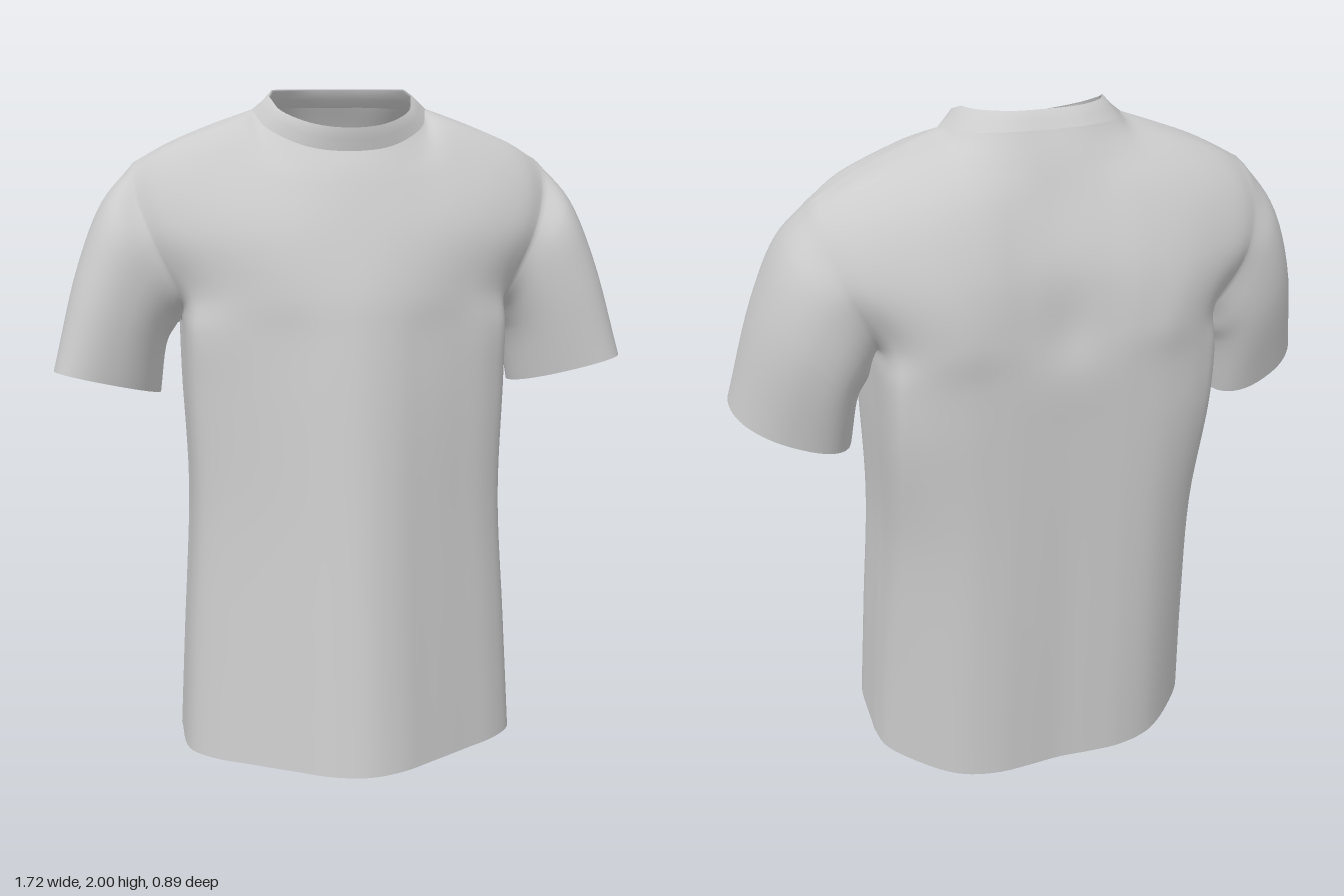
import * as THREE from 'three';
import { mergeGeometries, mergeVertices } from 'three/addons/utils/BufferGeometryUtils.js';

const K = 6; // subdivisions between neighbouring control points
const V = (x, y, z) => new THREE.Vector3(x, y, z);

// Smooth samples through a list of points
const spline = (pts, k = K) => new THREE.CatmullRomCurve3(pts).getPoints((pts.length - 1) * k);

// Smooth grid running across a list of equally long rows
function loft(rows) {
  const cols = rows[0].map((_, j) => spline(rows.map((r) => r[j])));
  return cols[0].map((_, i) => cols.map((c) => c[i]));
}

// Triangles from a grid of points
function gridGeometry(grid, flip = false) {
  const nJ = grid[0].length;
  const index = [];
  for (let i = 0; i < grid.length - 1; i++) {
    for (let j = 0; j < nJ - 1; j++) {
      const a = i * nJ + j, b = a + 1, d = a + nJ, c = d + 1;
      index.push(...(flip ? [a, c, b, a, d, c] : [a, b, c, a, c, d]));
    }
  }
  const g = new THREE.BufferGeometry().setFromPoints(grid.flat());
  g.setIndex(index);
  return g;
}

// Half a row (centre to +x side) mirrored to a full row from -x to +x
const mirrorRow = (half) => [
  ...half.slice(1).reverse().map((p) => V(-p.x, p.y, p.z)), ...half,
];
const row = (xs, ys, zs) => mirrorRow(xs.map((x, i) => V(x, ys[i], zs[i])));

// Trunk levels: height, half width, front z, back z, hem tilt, front and back roundness
const levels = [
  [0.035, 0.515, 0.445, -0.4, 0.08, 1, 1],
  [0.4, 0.494, 0.405, -0.415, 0.04, 1, 0.75],
  [0.8, 0.469, 0.36, -0.428, 0, 0.95, 0.45],
  [1.15, 0.476, 0.318, -0.438, 0, 0.85, 0.22],
  [1.33, 0.476, 0.292, -0.442, 0, 0.75, 0.2],
];
const SIDE_Z = -0.1;
const sectionX = [0, 0.2, 0.4, 0.62, 0.85, 0.97, 1];
const frontDepth = [1, 0.955, 0.845, 0.715, 0.57, 0.42, 0];
const backDepth = [0.97, 0.99, 0.99, 0.88, 0.54, 0.26, 0];

const trunkRows = (isFront) => levels.map(([y, w, zf, zb, tilt, frontPower, backPower]) =>
  mirrorRow(sectionX.map((sx, i) => {
    const depth = isFront ? frontDepth[i] ** frontPower : backDepth[i] ** backPower;
    const z = SIDE_Z + depth * ((isFront ? zf : zb) - SIDE_Z);
    return V(sx * w, y + tilt * z, z);
  })));

// Chest and upper back, ending at neckline and shoulder seam
const chestRows = [
  row([0, 0.1, 0.2, 0.3, 0.39, 0.455, 0.487], [1.45, 1.45, 1.45, 1.45, 1.44, 1.43, 1.42],
    [0.27, 0.26, 0.235, 0.195, 0.147, 0.09, 0.03]),
  row([0, 0.11, 0.22, 0.33, 0.44, 0.52, 0.56], [1.62, 1.62, 1.62, 1.62, 1.61, 1.6, 1.58],
    [0.215, 0.21, 0.19, 0.157, 0.115, 0.075, 0.045]),
  row([0, 0.12, 0.24, 0.34, 0.46, 0.55, 0.605], [1.745, 1.75, 1.77, 1.793, 1.778, 1.745, 1.7],
    [0.165, 0.15, 0.105, 0.06, 0.03, 0.005, -0.02]),
  row([0, 0.12, 0.235, 0.3, 0.42, 0.525, 0.61], [1.795, 1.805, 1.84, 1.899, 1.872, 1.83, 1.774],
    [0.14, 0.118, 0.05, -0.02, -0.045, -0.06, -0.08]),
  row([0, 0.12, 0.225, 0.258, 0.38, 0.5, 0.605], [1.835, 1.847, 1.895, 1.945, 1.902, 1.852, 1.795],
    [0.115, 0.09, 0, -0.11, -0.125, -0.135, -0.14]),
];
const upperBackRows = [
  row([0, 0.1, 0.2, 0.3, 0.4, 0.455, 0.487], [1.45, 1.45, 1.45, 1.45, 1.44, 1.435, 1.43],
    [-0.42, -0.432, -0.443, -0.442, -0.405, -0.355, -0.29]),
  row([0, 0.11, 0.22, 0.34, 0.45, 0.52, 0.56], [1.62, 1.62, 1.62, 1.62, 1.61, 1.595, 1.58],
    [-0.405, -0.41, -0.42, -0.412, -0.385, -0.36, -0.335]),
  row([0, 0.1, 0.21, 0.34, 0.46, 0.55, 0.605], [1.8, 1.8, 1.8, 1.79, 1.768, 1.735, 1.7],
    [-0.335, -0.34, -0.345, -0.335, -0.315, -0.295, -0.275]),
  row([0, 0.11, 0.22, 0.3, 0.42, 0.525, 0.61], [1.885, 1.885, 1.885, 1.892, 1.868, 1.828, 1.774],
    [-0.3, -0.297, -0.275, -0.235, -0.22, -0.212, -0.205]),
  row([0, 0.12, 0.215, 0.258, 0.38, 0.5, 0.605], [1.955, 1.955, 1.95, 1.945, 1.902, 1.852, 1.795],
    [-0.265, -0.255, -0.2, -0.11, -0.125, -0.135, -0.14]),
];

const ARMPIT = (levels.length - 1) * K; // grid row of the armpit
const NECK_A = 3 * K, NECK_B = 9 * K; // grid columns of the neck corners

// A panel's top row turns a corner where neckline meets shoulder
function panelGrid(rows) {
  const top = rows[rows.length - 1];
  const topEdge = [
    ...spline(top.slice(0, 4)), ...spline(top.slice(3, 10)).slice(1), ...spline(top.slice(9)).slice(1),
  ];
  return loft([...rows.slice(0, -1).map((r) => spline(r)), topEdge]);
}

// Angles around a closed ring, in proportion to its length
function ringAngles(ring) {
  const run = [0];
  for (let i = 1; i < ring.length; i++) run.push(run[i - 1] + ring[i].distanceTo(ring[i - 1]));
  return run.map((d) => (d / run[run.length - 1]) * Math.PI * 2);
}

// Sleeve ring from the underarm, round the front, over the top and down the back
function sleeveRing(side, angles, centre, out, front) {
  const soften = (v) => Math.sign(v) * Math.abs(v) ** 0.88;
  return angles.map((a) => {
    const p = centre.clone()
      .addScaledVector(out, -soften(Math.cos(a)))
      .addScaledVector(front, soften(Math.sin(a)));
    p.x *= side;
    return p;
  });
}

function sleeveGrid(front, back, side) {
  const j = side > 0 ? front[0].length - 1 : 0;
  const up = front.slice(ARMPIT).map((r) => r[j]);
  const down = back.slice(ARMPIT, -1).map((r) => r[j]).reverse();
  const armhole = [...up, ...down];
  const angles = ringAngles(armhole);
  const cap = sleeveRing(side, angles, V(0.597, 1.498, -0.135), V(0.103, 0.185, 0.01), V(0, 0.01, 0.195));
  const elbow = sleeveRing(side, angles, V(0.649, 1.385, -0.122), V(0.128, 0.118, 0.025), V(0, 0.01, 0.19));
  const cuff = sleeveRing(side, angles, V(0.702, 1.155, -0.088), V(0.156, 0.047, 0.05), V(0, 0.022, 0.15));
  return loft([armhole, cap, elbow, cuff]);
}

// Ribbed neck band, rolled over its top edge to the inside
function collarGrid(front, back) {
  const top = (g) => g[g.length - 1].slice(NECK_A, NECK_B + 1);
  const seam = [...top(front), ...top(back).reverse().slice(1)];
  const rim = seam.map((p) => {
    const z = -0.23 + ((p.z + 0.265) / 0.38) * 0.355;
    return V(p.x * 0.82, Math.min(2, 1.95 - 0.4 * z), z);
  });
  const middle = seam.map((p, i) => p.clone().lerp(rim[i], 0.5));
  const inset = (ring, s, dy) => ring.map((p) => V(p.x * s, p.y + dy, (p.z + 0.06) * s - 0.06));
  return [seam, middle, rim, inset(rim, 0.975, -0.005), inset(middle, 0.96, -0.01), inset(seam, 0.97, -0.01)];
}

export function createModel() {
  const group = new THREE.Group();
  const material = new THREE.MeshStandardMaterial({ color: 0xcccccc, side: THREE.DoubleSide, roughness: 0.9 });
  const addMesh = (name, geometry) => {
    const mesh = new THREE.Mesh(geometry, material);
    mesh.name = name;
    group.add(mesh);
  };

  // Front and back panels share their side seams
  const front = panelGrid([...trunkRows(true), ...chestRows]);
  const back = panelGrid([...trunkRows(false), ...upperBackRows]);
  const lastCol = front[0].length - 1;
  for (let i = 0; i <= ARMPIT; i++) {
    for (const j of [0, lastCol]) back[i][j] = front[i][j];
  }

  // Cloth parts are shaded as one surface, then split into named meshes
  const parts = [
    ['frontPanel', gridGeometry(front)],
    ['backPanel', gridGeometry(back, true)],
    ['leftSleeve', gridGeometry(sleeveGrid(front, back, 1), true)],
    ['rightSleeve', gridGeometry(sleeveGrid(front, back, -1))],
  ];
  const shell = mergeVertices(mergeGeometries(parts.map((p) => p[1])));
  shell.computeVertexNormals();
  const soup = shell.toNonIndexed();
  let start = 0;
  for (const [name, source] of parts) {
    const end = start + source.index.count;
    const g = new THREE.BufferGeometry();
    for (const key of ['position', 'normal']) {
      const data = soup.attributes[key].array.slice(start * 3, end * 3);
      g.setAttribute(key, new THREE.BufferAttribute(data, 3));
    }
    addMesh(name, mergeVertices(g));
    start = end;
  }

  const collar = mergeVertices(gridGeometry(collarGrid(front, back)));
  collar.computeVertexNormals();
  addMesh('collar', collar);
  return group;
}
